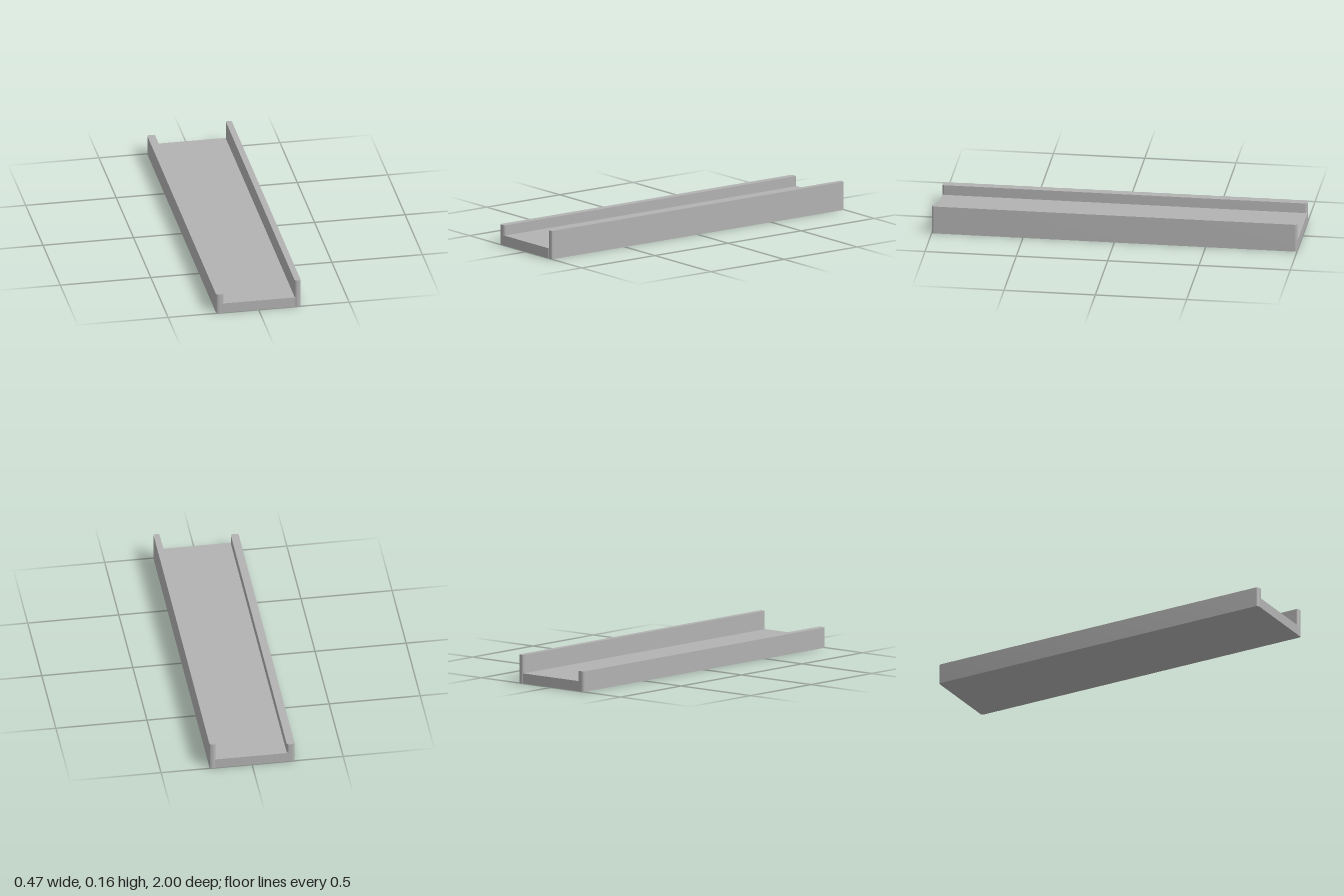
import * as THREE from 'three';
import { toCreasedNormals } from 'three/addons/utils/BufferGeometryUtils.js';

// Upright wall running along z, with rounded vertical corners
function wallGeometry(x0, x1, height, r) {
  const s = new THREE.Shape();
  s.moveTo(x0 + r, -1);
  s.lineTo(x1 - r, -1);
  s.absarc(x1 - r, -1 + r, r, -Math.PI / 2, 0);
  s.lineTo(x1, 1 - r);
  s.absarc(x1 - r, 1 - r, r, 0, Math.PI / 2);
  s.lineTo(x0 + r, 1);
  s.absarc(x0 + r, 1 - r, r, Math.PI / 2, Math.PI);
  s.lineTo(x0, -1 + r);
  s.absarc(x0 + r, -1 + r, r, Math.PI, Math.PI * 1.5);
  const g = new THREE.ExtrudeGeometry(s, { depth: height, bevelEnabled: false, curveSegments: 8 });
  g.rotateX(-Math.PI / 2);
  return toCreasedNormals(g, Math.PI / 6);
}

export function createModel() {
  const model = new THREE.Group();
  model.name = 'channelTray';
  const grey = new THREE.MeshStandardMaterial({ color: 0xb2b2b2 });
  grey.name = 'grey';

  const add = (name, geometry) => {
    const mesh = new THREE.Mesh(geometry, grey);
    mesh.name = name;
    model.add(mesh);
    return mesh;
  };

  // Low wall on the right, tall wall on the left
  add('lowWall', wallGeometry(-0.234, -0.191, 0.112, 0.014));
  add('tallWall', wallGeometry(0.2, 0.233, 0.157, 0.011));

  // Flat floor between the walls, slightly overlapping them
  const x0 = -0.21, x1 = 0.203, h = 0.056;
  add('floor', new THREE.BoxGeometry(x1 - x0, h, 2)).position.set((x0 + x1) / 2, h / 2, 0);

  return model;
}
